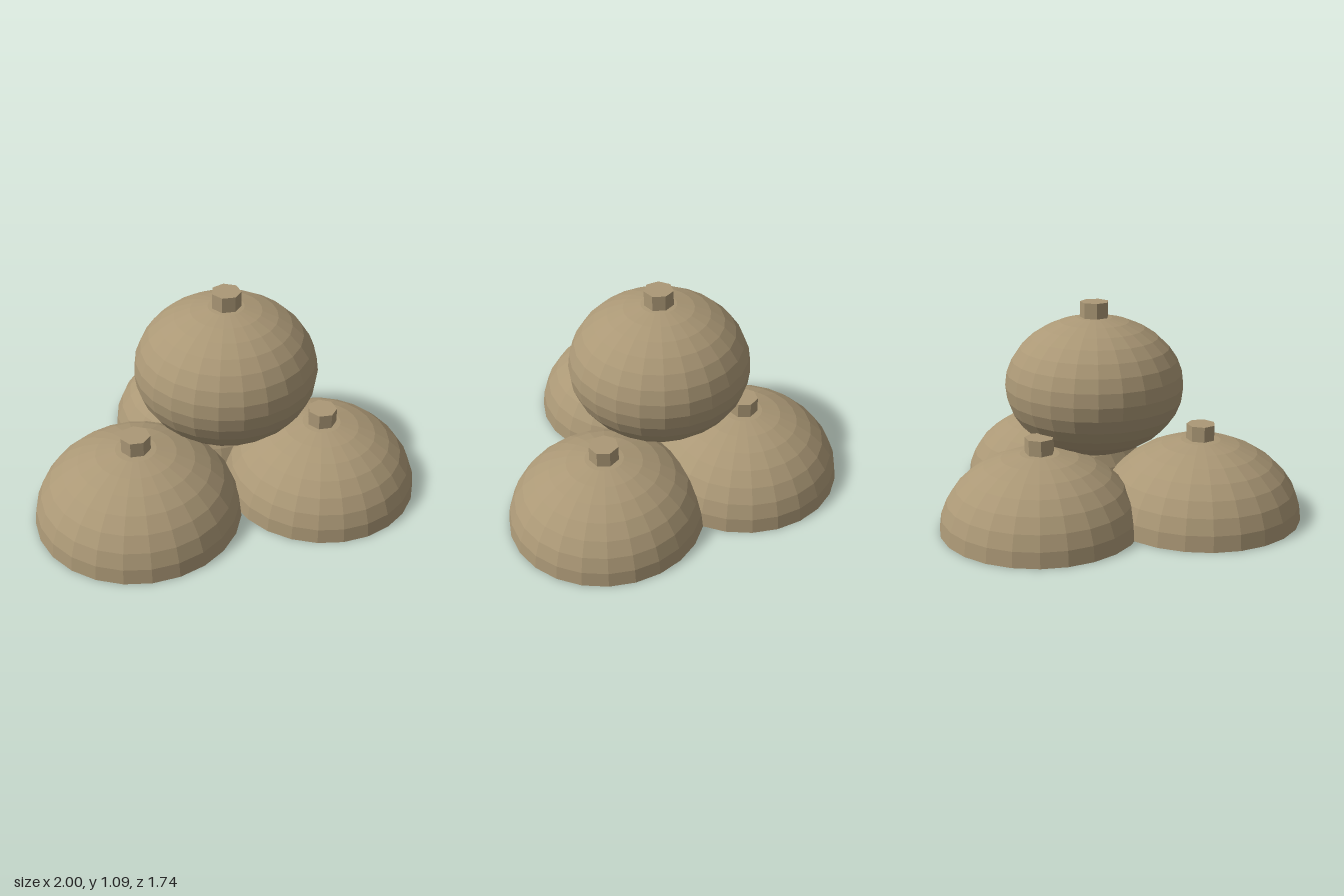
import * as THREE from 'three';

const burlap = new THREE.MeshStandardMaterial({ color: 0xab9876, flatShading: true, side: THREE.DoubleSide });
burlap.name = 'burlap tan';

// One sack: a squashed sphere (or an open half sphere) with a seven-sided tied knot on top
function makeSack(name, x, y, z, radius, height, isDome) {
  const sack = new THREE.Group();
  sack.name = name;
  sack.position.set(x, y, z);

  const bodyGeometry = isDome
    ? new THREE.SphereGeometry(radius, 24, 8, 0, Math.PI * 2, 0, Math.PI / 2)
    : new THREE.SphereGeometry(radius, 24, 16);
  bodyGeometry.scale(1, height / radius, 1);
  const body = new THREE.Mesh(bodyGeometry, burlap);
  body.name = 'sackBody';

  const knotHeight = 0.08;
  const knot = new THREE.Mesh(new THREE.CylinderGeometry(0.075, 0.075, knotHeight, 7), burlap);
  knot.name = 'sackKnot';
  knot.rotation.y = Math.PI; // corner towards the back
  knot.position.y = height + 0.075 - knotHeight / 2;

  sack.add(body, knot);
  return sack;
}

export function createModel() {
  const model = new THREE.Group();
  model.name = 'sackPile';
  model.add(
    // Three bottom sacks, open underneath
    makeSack('rightSack', -0.472, 0, 0.34, 0.528, 0.41, true),
    makeSack('leftSack', 0.498, 0, 0.26, 0.502, 0.387, true),
    makeSack('backSack', 0, 0, -0.362, 0.512, 0.4, true),
    // Whole sack resting on top
    makeSack('topSack', 0.03, 0.657, 0.075, 0.466, 0.362, false),
  );
  return model;
}
